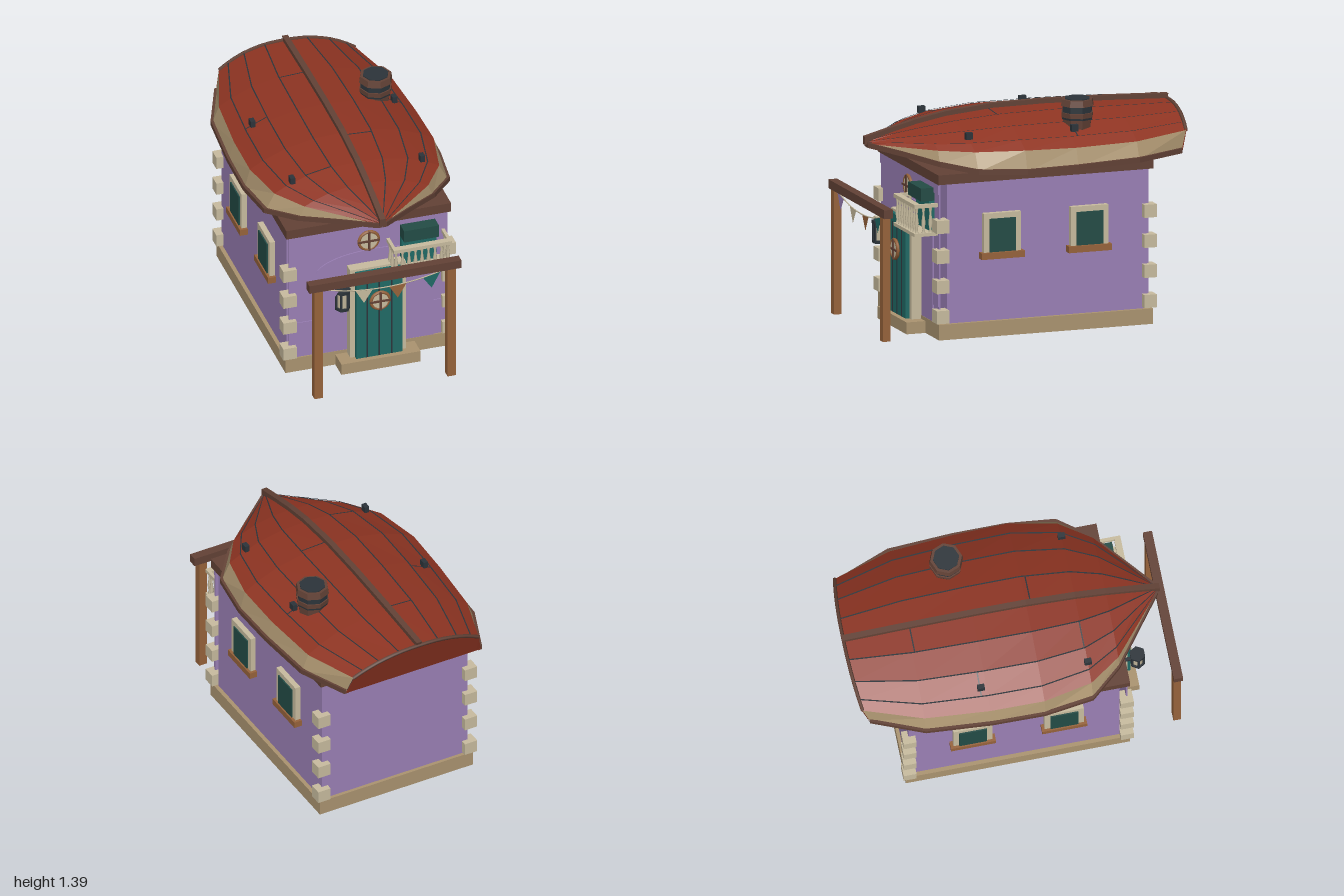
import * as THREE from 'three';

const mat = (name, color, side = THREE.FrontSide) => {
  const m = new THREE.MeshStandardMaterial({ color, side });
  m.name = name;
  return m;
};

export function createModel() {
  const purple = mat('purple plaster', 0x9b80b6, THREE.DoubleSide);
  const tan = mat('tan stone', 0xab9470);
  const cream = mat('cream stone', 0xc8bc9f, THREE.DoubleSide);
  const red = mat('red planks', 0x8e3422, THREE.DoubleSide);
  const brown = mat('dark brown wood', 0x634236, THREE.DoubleSide);
  const wood = mat('light brown wood', 0x97633b, THREE.DoubleSide);
  const teal = mat('teal paint', 0x206a66, THREE.DoubleSide);
  const pane = mat('dark teal', 0x234c46);
  const iron = mat('charcoal iron', 0x2c343a, THREE.DoubleSide);

  const root = new THREE.Group();
  root.name = 'boatRoofCottage';
  const add = (name, geo, material, parent = root) => {
    const m = new THREE.Mesh(geo, material);
    m.name = name;
    parent.add(m);
    return m;
  };
  // Box given by its limits on each axis
  const box = (name, material, x0, x1, y0, y1, z0, z1, parent) => {
    const m = add(name, new THREE.BoxGeometry(x1 - x0, y1 - y0, z1 - z0), material, parent);
    m.position.set((x0 + x1) / 2, (y0 + y1) / 2, (z0 + z1) / 2);
    return m;
  };
  // Flat-shaded skin over rows of points
  const loft = (rows, flip = false) => {
    const p = [];
    for (let i = 0; i < rows.length - 1; i++) {
      for (let j = 0; j < rows[i].length - 1; j++) {
        const a = rows[i][j], b = rows[i + 1][j], c = rows[i][j + 1], d = rows[i + 1][j + 1];
        for (const v of flip ? [a, d, b, a, c, d] : [a, b, d, a, d, c]) p.push(...v);
      }
    }
    const g = new THREE.BufferGeometry();
    g.setAttribute('position', new THREE.Float32BufferAttribute(p, 3));
    g.computeVertexNormals();
    return g;
  };

  // House body
  box('plinth', tan, -0.525, 0.525, 0, 0.095, -0.711, 0.664);
  box('doorStep', tan, -0.21, 0.29, 0, 0.073, 0.66, 0.785);
  box('walls', purple, -0.5, 0.5, 0.095, 0.957, -0.69, 0.605);
  box('frontWall', purple, -0.5, 0.5, 0.095, 0.957, 0.645, 0.655);
  box('wallPlate', brown, -0.52, 0.52, 0.955, 1.015, -0.715, 0.667);
  box('frontFrieze', purple, -0.5, 0.5, 0.89, 0.955, 0.655, 0.661);
  box('plasterPatch', purple, -0.46, -0.33, 0.28, 0.34, 0.655, 0.661);
  box('plasterPatch', purple, 0.325, 0.5, 0.2, 0.34, 0.655, 0.661);
  const arch = new THREE.Shape();
  arch.moveTo(-0.33, 0.095).lineTo(-0.33, 0.67);
  arch.bezierCurveTo(-0.3, 0.75, -0.12, 0.78, 0.04, 0.78);
  arch.bezierCurveTo(0.2, 0.78, 0.38, 0.75, 0.41, 0.67);
  arch.lineTo(0.41, 0.095);
  add('archPanel', new THREE.ExtrudeGeometry(arch, { depth: 0.007, bevelEnabled: false }), purple).position.z = 0.655;

  // Corner stones
  for (const s of [-1, 1]) for (const z of [0.645, -0.688]) for (let i = 0; i < 4; i++) {
    const y = 0.145 + i * 0.185;
    box('cornerStone', cream, s * 0.5025 - 0.0425, s * 0.5025 + 0.0425, y - 0.04, y + 0.04, z - 0.04, z + 0.04);
  }

  // Side windows: frame bars, pane and sill
  for (const s of [-1, 1]) for (const z of [0.26, -0.3]) {
    const w = new THREE.Group();
    w.name = 'sideWindow';
    w.position.set(s * 0.5, 0, z);
    root.add(w);
    box('windowPane', pane, -0.042, 0.042, 0.522, 0.727, -0.085, 0.085, w);
    for (const e of [-1, 1]) box('windowJamb', cream, -0.034, 0.034, 0.52, 0.76, e * 0.1025 - 0.0175, e * 0.1025 + 0.0175, w);
    box('windowHead', cream, -0.034, 0.034, 0.725, 0.76, -0.1, 0.1, w);
    box('windowSill', wood, -0.05, 0.05, 0.48, 0.52, -0.138, 0.138, w);
  }

  // Door with plank grooves and frame
  box('door', teal, -0.105, 0.185, 0.073, 0.68, 0.655, 0.752);
  for (const x of [-0.037, 0.04, 0.117]) box('doorGroove', iron, x - 0.004, x + 0.004, 0.075, 0.63, 0.752, 0.756);
  for (const x of [-0.12, 0.2]) box('doorJamb', cream, x - 0.016, x + 0.016, 0.073, 0.69, 0.655, 0.727);
  box('doorLintel', cream, -0.136, 0.216, 0.68, 0.695, 0.655, 0.727);

  // Round windows
  const roundWindow = (name, x, y, z, r) => {
    const g = new THREE.Group();
    g.name = name;
    g.position.set(x, y, z);
    root.add(g);
    add('roundPane', new THREE.CylinderGeometry(r, r, 0.016, 20).rotateX(Math.PI / 2), cream, g);
    add('roundFrame', new THREE.TorusGeometry(r - 0.006, 0.011, 6, 20), wood, g);
    box('crossBar', brown, -r, r, -0.006, 0.006, 0.006, 0.016, g);
    box('crossBar', brown, -0.006, 0.006, -r, r, 0.006, 0.016, g);
  };
  roundWindow('gableWindow', 0, 0.85, 0.667, 0.067);
  roundWindow('doorWindow', 0.04, 0.475, 0.768, 0.063);

  // Balcony with turned balusters and the box window behind
  box('balconyFloor', cream, 0.115, 0.482, 0.637, 0.658, 0.655, 0.805);
  box('balconyRail', cream, 0.115, 0.482, 0.812, 0.835, 0.765, 0.805);
  for (const x of [0.125, 0.472]) box('balconySideRail', cream, x - 0.01, x + 0.01, 0.812, 0.835, 0.655, 0.765);
  box('balconyWindow', pane, 0.2, 0.42, 0.84, 0.92, 0.655, 0.742);
  box('balconyDoor', teal, 0.2, 0.42, 0.658, 0.84, 0.655, 0.69);
  const turned = [[0.012, 0], [0.007, 0.02], [0.014, 0.06], [0.006, 0.12], [0.012, 0.155]].map(p => new THREE.Vector2(...p));
  const balusterGeo = new THREE.LatheGeometry(turned, 8);
  for (let i = 0; i < 9; i++) add('baluster', balusterGeo, cream).position.set(0.135 + i * 0.041, 0.658, 0.785);
  for (const x of [0.125, 0.472]) for (const z of [0.7, 0.745]) add('baluster', balusterGeo, cream).position.set(x, 0.658, z);

  // Hexagonal wall lantern
  const lantern = new THREE.Group();
  lantern.name = 'lantern';
  lantern.position.set(-0.2, 0, 0.775);
  root.add(lantern);
  const hex = (name, r, y0, y1, m) => {
    add(name, new THREE.CylinderGeometry(r, r, y1 - y0, 6).rotateY(Math.PI / 6), m, lantern).position.y = (y0 + y1) / 2;
  };
  hex('lanternBase', 0.048, 0.467, 0.485, iron);
  hex('lanternGlass', 0.036, 0.485, 0.585, cream);
  hex('lanternCap', 0.05, 0.585, 0.605, iron);
  for (let i = 0; i < 6; i++) {
    const a = i * Math.PI / 3, x = Math.cos(a) * 0.04, z = Math.sin(a) * 0.04;
    box('lanternBar', iron, x - 0.006, x + 0.006, 0.48, 0.59, z - 0.006, z + 0.006, lantern);
  }
  box('lanternBracket', iron, -0.01, 0.01, 0.53, 0.55, -0.12, -0.03, lantern);

  // Gateway in front, with rope and pennants
  for (const x of [-0.42, 0.42]) box('gatePost', wood, x - 0.026, x + 0.026, 0, 0.765, 0.947, 0.995);
  box('gateBeam', brown, -0.48, 0.48, 0.763, 0.817, 0.944, 1);
  const ropeY = x => 0.7 + 0.36 * x * x;
  const rope = new THREE.CatmullRomCurve3([-0.4, -0.2, 0, 0.2, 0.4].map(x => new THREE.Vector3(x, ropeY(x), 0.972)));
  add('pennantRope', new THREE.TubeGeometry(rope, 16, 0.004, 5), cream);
  [[-0.34, purple], [-0.127, cream], [0.087, wood], [0.3, teal]].forEach(([x, m]) => {
    const s = new THREE.Shape();
    s.moveTo(x - 0.055, ropeY(x - 0.055)).lineTo(x, ropeY(x) - 0.092).lineTo(x + 0.055, ropeY(x + 0.055));
    add('pennant', new THREE.ShapeGeometry(s), m).position.z = 0.974;
  });

  // Upturned hull stations: z, half width, plank edge y, crown y, rim half width, rim y
  const st = [
    [-0.92, 0.43, 1.155, 1.268, 0.46, 1.04], [-0.6, 0.545, 1.135, 1.285, 0.585, 1.03],
    [-0.2, 0.575, 1.132, 1.295, 0.61, 1.02], [0.13, 0.58, 1.14, 1.292, 0.612, 1.016],
    [0.43, 0.52, 1.14, 1.265, 0.575, 1.03], [0.62, 0.39, 1.138, 1.23, 0.42, 1.06],
    [0.78, 0.2, 1.133, 1.19, 0.215, 1.095], [0.935, 0.012, 1.128, 1.145, 0.018, 1.122]];
  // The stern station leans backwards
  const lean = (z, y) => (z < -0.9 ? z - 0.3 * (y - 1.03) : z);
  const skin = ([z, w, g, c], t) => {
    const y = g + (c - g) * (1 - Math.abs(t) ** 2.4);
    return [w * t, y, lean(z, y)];
  };
  const ts = [-1, -0.86, -0.62, -0.31, 0, 0.31, 0.62, 0.86, 1];
  const rows = st.map(s => [[-s[4], s[5], s[0]], ...ts.map(t => skin(s, t)), [s[4], s[5], s[0]]]);
  add('hullPlanks', loft(rows.map(r => r.slice(1, -1))), red);
  add('hullStrakeRight', loft(rows.map(r => r.slice(0, 2))), tan);
  add('hullStrakeLeft', loft(rows.map(r => r.slice(-2))), tan);
  add('hullInside', loft(rows.map(r => r.map(([x, y, z]) => [x * 0.99, y - 0.008, z])), true), iron);
  const stern = rows[0].map(([x, y, z]) => [x, y, z - 0.004]);
  add('transom', loft([stern, stern.map(([x]) => [x, 1.03, -0.924])]), red);
  const sternArc = new THREE.CatmullRomCurve3(rows[0].slice(1, -1).map(p => new THREE.Vector3(...p)));
  add('sternTrim', new THREE.TubeGeometry(sternArc, 16, 0.012, 5), brown);

  // Rim and keel: square bars swept along the stations
  const bar = (name, section) => {
    const r = st.map(section).map(q => [...q, q[0]]);
    const cap = q => q.map(() => [(q[0][0] + q[2][0]) / 2, (q[0][1] + q[2][1]) / 2, (q[0][2] + q[2][2]) / 2]);
    add(name, loft([cap(r[0]), ...r, cap(r[r.length - 1])]), brown);
  };
  for (const s of [-1, 1]) {
    bar('hullRim', ([z, , , , w, y]) => [[-0.016, 0.016], [0.012, 0.016], [0.012, -0.016], [-0.016, -0.016]]
      .map(([dx, dy]) => [s * (w + dx), y + dy, z]));
  }
  bar('keel', ([z, , , c]) => [[-0.018, 0.028], [0.018, 0.028], [0.018, -0.022], [-0.018, -0.022]]
    .map(([x, dy]) => [x, c + dy, lean(z, c + dy) + (z > 0.9 ? 0.015 : 0)]));

  // Seams between planks, lengthwise and across
  for (const t of ts.slice(1, -1)) if (t !== 0) {
    add('plankSeam', loft(st.map(s => {
      const [x, y, z] = skin(s, t), h = Math.min(0.004, s[1] / 10);
      return [[x - h, y + 0.005, z], [x + h, y + 0.005, z]];
    })), iron);
  }
  const stationAt = z => {
    const i = st.findIndex((s, k) => z <= st[k + 1][0]);
    const f = (z - st[i][0]) / (st[i + 1][0] - st[i][0]);
    return st[i].map((v, k) => v + (st[i + 1][k] - v) * f);
  };
  for (const [z, a, b] of [[-0.585, -0.31, 0], [0.16, 0, 0.31], [0.425, -0.62, -0.31], [-0.24, -0.86, -0.62], [-0.24, 0.62, 0.86]]) {
    add('plankJoint', loft([z - 0.004, z + 0.004].map(v => [a, b].map(t => {
      const p = skin(stationAt(v), t);
      return [p[0], p[1] + 0.004, p[2]];
    }))), iron);
  }
  // Iron cleats on the planks
  for (const [x, y, z] of [[-0.45, 1.235, -0.235], [0.445, 1.235, -0.235], [-0.41, 1.228, 0.43], [0.41, 1.228, 0.43]]) {
    box('cleat', iron, x - 0.015, x + 0.015, y - 0.03, y + 0.012, z - 0.022, z + 0.022);
  }

  // Barrel chimney
  const drum = (name, m, r0, r1, y0, y1) => {
    const g = new THREE.CylinderGeometry(r1, r0, y1 - y0, 8).toNonIndexed();
    g.computeVertexNormals();
    add(name, g, m).position.set(0.347, (y0 + y1) / 2, -0.29);
  };
  drum('chimneyFoot', brown, 0.085, 0.092, 1.2, 1.27);
  drum('chimneyHoop', iron, 0.096, 0.098, 1.262, 1.275);
  drum('chimneyBody', brown, 0.1, 0.102, 1.275, 1.305);
  drum('chimneyBand', iron, 0.094, 0.094, 1.305, 1.35);
  drum('chimneyCrown', brown, 0.105, 0.098, 1.345, 1.385);
  drum('chimneyTop', iron, 0.08, 0.08, 1.38, 1.391);
  return root;
}
